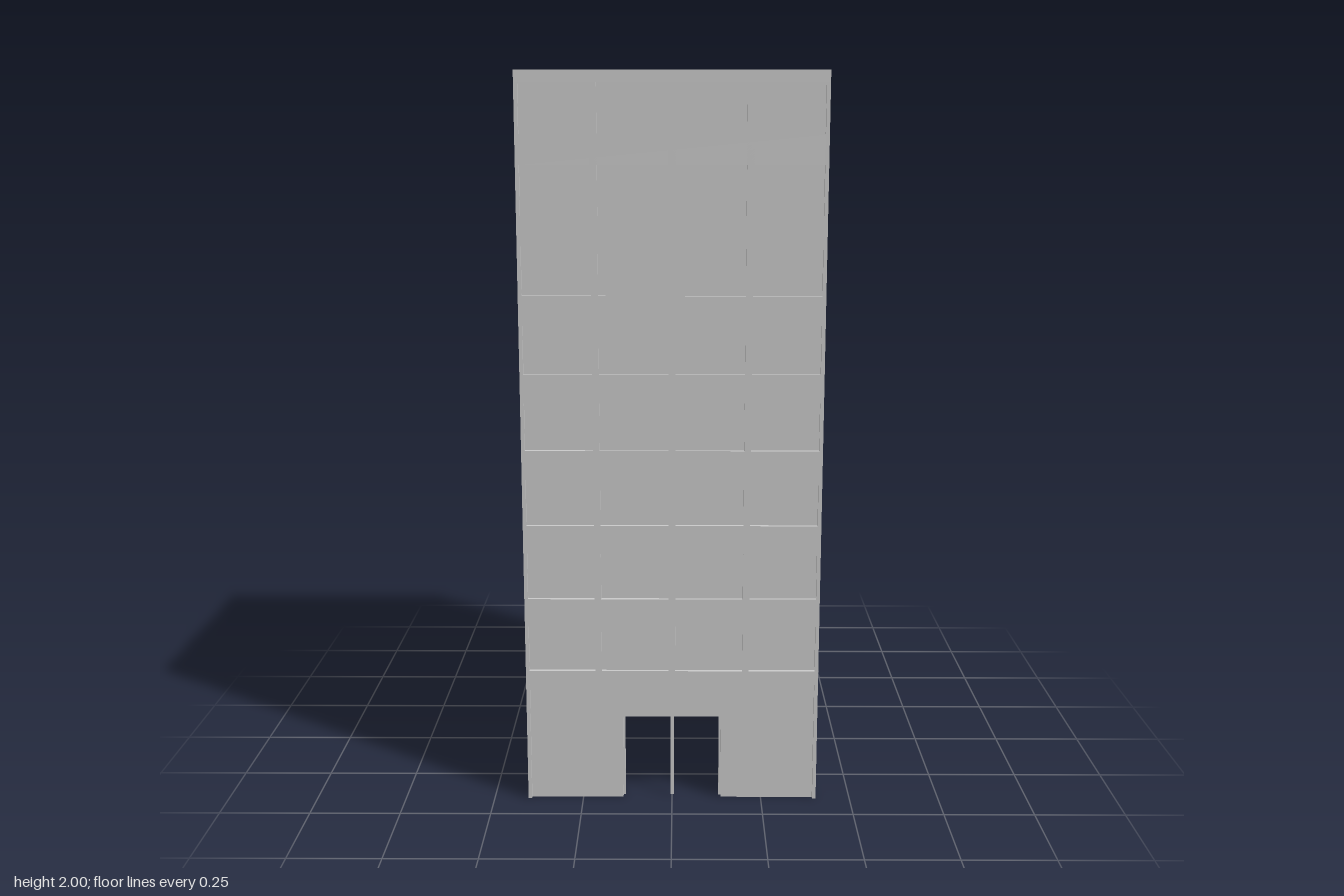
import * as THREE from 'three';

const HALF = 0.405;      // outer half width
const CORE = 0.395;      // half width at the recessed glass line
const INNER = 0.34;      // half width of the hollow lobby
const CEILING = 0.31, BASE_TOP = 0.34, HEIGHT = 2;
const DOOR_HALF = 0.137, DOOR_TOP = 0.243;
const ROWS = 8, ROW_START = 0.38, ROW_PITCH = 0.2084, WINDOW_HEIGHT = 0.13;
const ROOF = ROW_START + (ROWS - 1) * ROW_PITCH + WINDOW_HEIGHT;

export function createModel() {
  const model = new THREE.Group();
  model.name = 'officeTower';
  const material = new THREE.MeshStandardMaterial({ color: 0xcccccc, flatShading: true });

  const add = (name, geometry, parent = model) => {
    const mesh = new THREE.Mesh(geometry, material);
    mesh.name = name;
    parent.add(mesh);
    return mesh;
  };
  // Box given by its minimum and maximum corners
  const box = (name, x0, x1, y0, y1, z0, z1, parent) =>
    add(name, new THREE.BoxGeometry(x1 - x0, y1 - y0, z1 - z0)
      .translate((x0 + x1) / 2, (y0 + y1) / 2, (z0 + z1) / 2), parent);
  // Plan outline (x, -z) raised from y0 to y1
  const raise = (shape, y0, y1) =>
    new THREE.ExtrudeGeometry(shape, { depth: y1 - y0, bevelEnabled: false })
      .rotateX(-Math.PI / 2).translate(0, y0, 0);
  const square = (Type, h) =>
    new Type([[-h, -h], [h, -h], [h, h], [-h, h]].map(p => new THREE.Vector2(...p)));

  // Recessed glazing body; its underside is the lobby ceiling
  box('windowGlazing', -CORE, CORE, CEILING, ROOF, -CORE, CORE);

  // Floor bands between the window rows
  for (let i = 0; i < ROWS; i++) {
    const top = ROW_START + i * ROW_PITCH;
    const bottom = i === 0 ? BASE_TOP : top - ROW_PITCH + WINDOW_HEIGHT;
    box('floorBand', -HALF, HALF, bottom, top, -HALF, HALF);
  }

  // Parapet around the sunken roof
  const rim = square(THREE.Shape, HALF);
  rim.holes.push(square(THREE.Path, CORE));
  add('parapet', raise(rim, ROOF, HEIGHT));

  // Slim posts at the four corners
  for (const sx of [-1, 1]) for (const sz of [-1, 1]) {
    const c = (HALF + CORE) / 2, w = HALF - CORE;
    add('cornerPost', new THREE.BoxGeometry(w, ROOF, w)).position.set(sx * c, ROOF / 2, sz * c);
  }

  // Mullions, three per side
  for (let side = 0; side < 4; side++) {
    const facade = new THREE.Group();
    facade.name = 'facadeMullions';
    facade.rotation.y = side * Math.PI / 2;
    for (const x of [-0.203, 0, 0.203])
      box('mullion', x - 0.009, x + 0.009, ROW_START, ROOF, CORE - 0.005, HALF, facade);
    model.add(facade);
  }

  // Lobby walls, open below and broken by the entrance
  const d = DOOR_HALF;
  const plan = new THREE.Shape([
    [d, -CORE], [CORE, -CORE], [CORE, CORE], [-CORE, CORE], [-CORE, -CORE], [-d, -CORE],
    [-d, -INNER], [-INNER, -INNER], [-INNER, INNER], [INNER, INNER], [INNER, -INNER], [d, -INNER],
  ].map(p => new THREE.Vector2(...p)));
  add('lobbyWalls', raise(plan, 0, CEILING));
  box('doorLintel', -d, d, DOOR_TOP, CEILING, INNER, CORE);

  // Entrance frame and centre post
  const z0 = 0.37, z1 = 0.38;
  box('doorCentrePost', -0.005, 0.005, 0, DOOR_TOP, z0, z1);
  box('doorFrameTop', -d, d, DOOR_TOP - 0.008, DOOR_TOP, z0, z1);
  for (const s of [-1, 1])
    add('doorFrameSide', new THREE.BoxGeometry(0.006, DOOR_TOP, z1 - z0))
      .position.set(s * (d - 0.003), DOOR_TOP / 2, (z0 + z1) / 2);

  return model;
}
